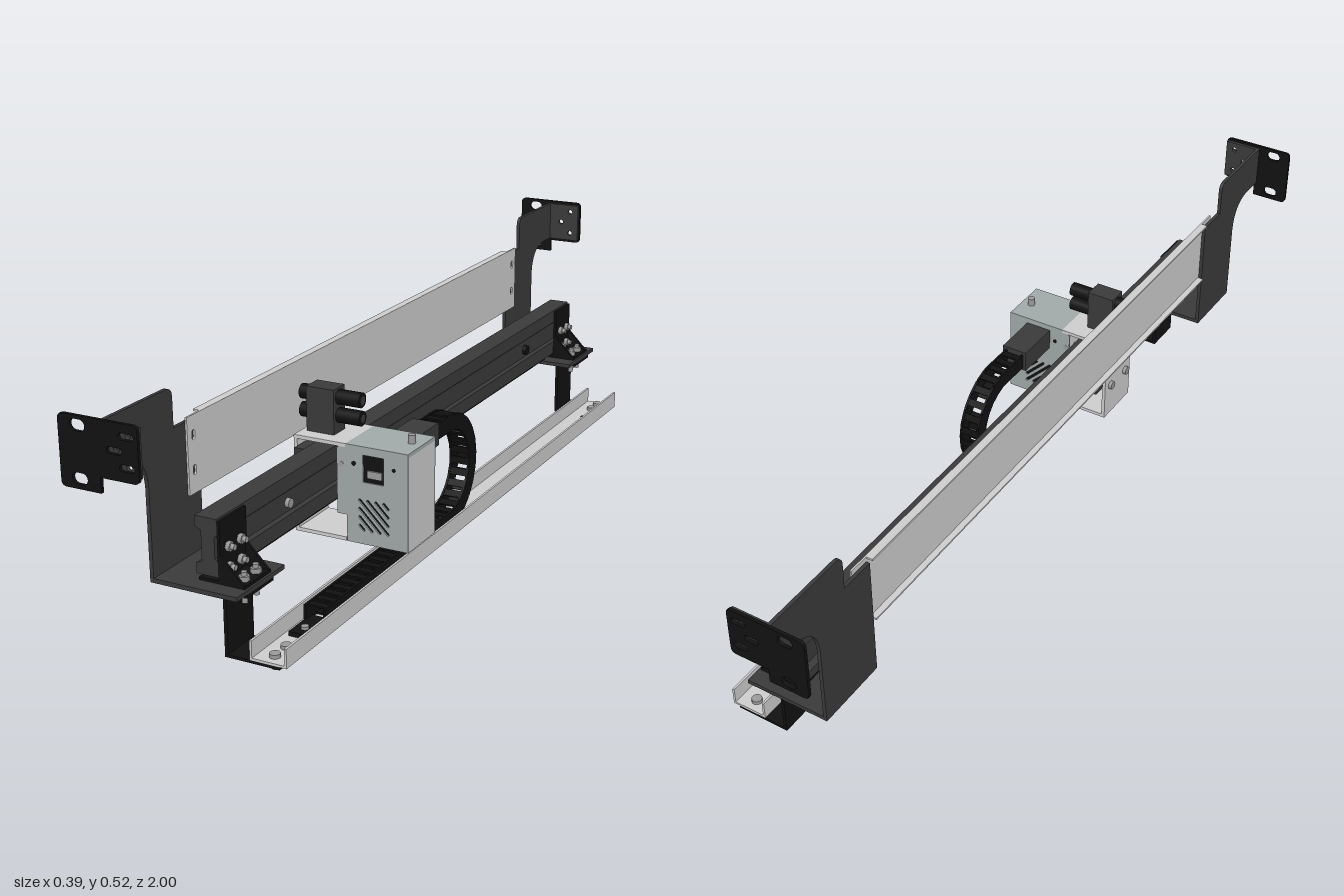
import * as THREE from 'three';

const mat = (name, color) => {
  const m = new THREE.MeshStandardMaterial({ color });
  m.name = name;
  return m;
};

export function createModel() {
  const light = mat('light metal', 0xcccccc);
  const cover = mat('cool grey cover', 0xa0a8a8);
  const dark = mat('dark grey metal', 0x3a3a3a);
  const black = mat('black', 0x111111);
  const steel = mat('bolt steel', 0x9a9a9a);

  const root = new THREE.Group();
  root.name = 'linearSlideUnit';

  const add = (name, geo, m, parent = root) => {
    const mesh = new THREE.Mesh(geo, m);
    mesh.name = name;
    parent.add(mesh);
    return mesh;
  };
  // box from its limits
  const box = (name, m, x0, x1, y0, y1, z0, z1, parent) => {
    const g = new THREE.BoxGeometry(x1 - x0, y1 - y0, Math.abs(z1 - z0));
    g.translate((x0 + x1) / 2, (y0 + y1) / 2, (z0 + z1) / 2);
    return add(name, g, m, parent);
  };
  // cylinder along an axis, from a to b
  const rod = (name, m, axis, r, a, b, x, y, z, seg = 16) => {
    const g = new THREE.CylinderGeometry(r, r, b - a, seg);
    if (axis === 'x') g.rotateZ(Math.PI / 2);
    if (axis === 'z') g.rotateX(Math.PI / 2);
    const mid = (a + b) / 2;
    g.translate(axis === 'x' ? mid : x, axis === 'y' ? mid : y, axis === 'z' ? mid : z);
    return add(name, g, m);
  };
  const poly = (pts) => new THREE.Shape(pts.map((p) => new THREE.Vector2(p[0], p[1])));
  // rounded slot hole, optionally tilted
  const slot = (cx, cy, len, w, ang = 0) => {
    const r = w / 2, h = len / 2 - r, p = new THREE.Path();
    const dx = h * Math.cos(ang), dy = h * Math.sin(ang);
    p.absarc(cx + dx, cy + dy, r, ang - Math.PI / 2, ang + Math.PI / 2, false);
    p.absarc(cx - dx, cy - dy, r, ang + Math.PI / 2, ang + Math.PI * 1.5, false);
    p.closePath();
    return p;
  };
  // shape in x-y, extruded along z
  const extrudeZ = (name, m, shape, z0, z1) => {
    const g = new THREE.ExtrudeGeometry(shape, { depth: z1 - z0, bevelEnabled: false, curveSegments: 8 });
    g.translate(0, 0, z0);
    return add(name, g, m);
  };
  // shape in z-y, extruded along x
  const extrudeX = (name, m, shape, x0, x1) => {
    const g = new THREE.ExtrudeGeometry(shape, { depth: x1 - x0, bevelEnabled: false, curveSegments: 10 });
    g.rotateY(-Math.PI / 2);
    g.translate(x1, 0, 0);
    return add(name, g, m);
  };

  // ---- beam and back panel ----
  extrudeZ('beam', dark, poly([
    [-0.035, 0.173], [0.013, 0.173], [0.013, 0.205], [0.007, 0.21], [0.007, 0.252],
    [0.013, 0.257], [0.013, 0.289], [-0.035, 0.289], [-0.035, 0.268], [-0.022, 0.262],
    [-0.022, 0.2], [-0.035, 0.194]]), -0.83, 0.83);
  box('beamLowerStrip', black, -0.028, 0.008, 0.167, 0.173, -0.7, 0.7);
  rod('beamPlug', steel, 'x', 0.01, 0.006, 0.016, 0, 0.229, 0.575);
  rod('beamPlug', black, 'x', 0.012, 0.006, 0.016, 0, 0.229, -0.565);

  const panel = poly([[-0.745, 0.283], [0.745, 0.283], [0.745, 0.44], [-0.745, 0.44]]);
  for (const z of [-0.725, 0.725]) for (const y of [0.33, 0.4]) panel.holes.push(slot(z, y, 0.02, 0.01, Math.PI / 2));
  extrudeX('backPanel', light, panel, -0.106, -0.102);
  for (const y of [0.283, 0.436]) box('panelLip', light, -0.12, -0.106, y, y + 0.004, -0.698, 0.698);

  // ---- lower channel ----
  box('channelFloor', light, 0.075, 0.155, 0.02, 0.025, -0.83, 0.83);
  box('channelWall', light, 0.075, 0.08, 0.025, 0.06, -0.83, 0.83);
  box('channelWall', light, 0.15, 0.155, 0.025, 0.06, -0.83, 0.83);
  rod('channelHole', black, 'y', 0.006, 0.0245, 0.0258, 0.115, 0, -0.705);

  // ---- both ends ----
  for (const s of [1, -1]) {
    // mounting plate with rounded corners and slots
    const p = new THREE.Shape(), r = 0.012;
    p.moveTo(-0.195 + r, 0.378);
    p.lineTo(-0.108, 0.378);
    p.lineTo(-0.108, 0.408);
    p.lineTo(-0.025 - r, 0.408);
    p.quadraticCurveTo(-0.025, 0.408, -0.025, 0.408 + r);
    p.lineTo(-0.025, 0.516 - r);
    p.quadraticCurveTo(-0.025, 0.516, -0.025 - r, 0.516);
    p.lineTo(-0.195 + r, 0.516);
    p.quadraticCurveTo(-0.195, 0.516, -0.195, 0.516 - r);
    p.lineTo(-0.195, 0.378 + r);
    p.quadraticCurveTo(-0.195, 0.378, -0.195 + r, 0.378);
    p.holes.push(slot(-0.153, 0.498, 0.033, 0.022), slot(-0.153, 0.398, 0.033, 0.022));
    const f = poly([[-0.113, 0.415], [-0.028, 0.415], [-0.028, 0.51], [-0.113, 0.51]]);
    for (const [x, y] of [[-0.05, 0.492], [-0.076, 0.463], [-0.05, 0.434]]) {
      p.holes.push(slot(x, y, 0.032, 0.013));
      f.holes.push(slot(x, y, 0.0121, 0.012));
    }
    extrudeZ('mountingPlate', black, p, s > 0 ? 0.993 : -1, s > 0 ? 1 : -0.993);
    extrudeZ('bracketFlange', dark, f, s > 0 ? 0.985 : -0.993, s > 0 ? 0.993 : -0.985);

    // swept side bracket
    const b = new THREE.Shape();
    b.moveTo(s * 0.99, 0.51);
    b.lineTo(s * 0.8, 0.51);
    b.quadraticCurveTo(s * 0.78, 0.51, s * 0.78, 0.49);
    b.lineTo(s * 0.78, 0.43);
    b.lineTo(s * 0.7, 0.43);
    b.lineTo(s * 0.7, 0.152);
    b.lineTo(s * 0.865, 0.152);
    b.lineTo(s * 0.865, 0.34);
    b.quadraticCurveTo(s * 0.868, 0.41, s * 0.935, 0.415);
    b.lineTo(s * 0.99, 0.415);
    b.closePath();
    extrudeX('sideBracket', dark, b, -0.115, -0.107);
    box('bracketShelf', dark, -0.115, 0.075, 0.152, 0.161, s * 0.7, s * 0.865);

    // angle bracket between beam and shelf
    box('angleUpright', black, 0.013, 0.019, 0.161, 0.285, s * 0.74, s * 0.83);
    box('angleFoot', black, -0.03, 0.07, 0.161, 0.167, s * 0.74, s * 0.83);
    for (const z of [0.743, 0.827]) {
      extrudeZ('angleGusset', black, poly([[0.019, 0.167], [0.068, 0.167], [0.019, 0.217]]), s * z - 0.003, s * z + 0.003);
    }

    // stepped hanger down to the channel
    box('hangerTop', black, 0.021, 0.075, 0.145, 0.152, s * 0.74, s * 0.83);
    box('hangerUpright', black, 0.021, 0.028, 0.02, 0.146, s * 0.74, s * 0.83);
    box('hangerFoot', black, 0.021, 0.14, 0.014, 0.02, s * 0.74, s * 0.83);

    // bolts
    for (const z of [0.765, 0.805]) {
      for (const y of [0.188, 0.229]) {
        rod('beamBolt', steel, 'x', 0.01, 0.019, 0.028, 0, y, s * z, 6);
        rod('beamBoltTip', steel, 'x', 0.006, 0.028, 0.036, 0, y, s * z, 10);
      }
      rod('shelfBolt', steel, 'y', 0.006, 0.122, 0.185, 0.053, 0, s * z, 10);
      rod('shelfNut', steel, 'y', 0.011, 0.167, 0.177, 0.053, 0, s * z, 6);
      rod('shelfNut', steel, 'y', 0.011, 0.134, 0.145, 0.053, 0, s * z, 6);
      rod('channelBoltHead', steel, 'y', 0.011, 0.025, 0.033, 0.115, 0, s * z);
      rod('channelNut', steel, 'y', 0.011, 0.005, 0.014, 0.115, 0, s * z, 6);
      rod('channelBoltTip', steel, 'y', 0.006, 0, 0.006, 0.115, 0, s * z, 10);
    }
  }

  // ---- carriage ----
  box('carriageBlock', dark, -0.057, -0.036, 0.173, 0.288, 0.28, 0.44);
  box('carriageTopArm', light, -0.07, 0.05, 0.3, 0.308, 0.3, 0.42);
  box('carriageBottomArm', light, -0.07, 0.05, 0.097, 0.105, 0.3, 0.42);
  box('carriageUpperCheek', light, -0.07, -0.062, 0.25, 0.3, 0.3, 0.42);
  box('carriageLowerCheek', light, -0.07, -0.062, 0.105, 0.205, 0.3, 0.42);
  for (const z of [0.325, 0.395]) for (const y of [0.18, 0.28]) {
    rod('cheekScrew', steel, 'x', 0.01, -0.078, -0.07, 0, y, z);
    rod('cheekSpacer', steel, 'x', 0.005, -0.062, -0.057, 0, y, z, 10);
  }

  // ---- control box ----
  box('boxCore', black, 0.056, 0.184, 0.103, 0.3, 0.308, 0.412);
  box('boxTop', cover, 0.05, 0.192, 0.3, 0.308, 0.3, 0.42);
  box('boxRightSide', light, 0.184, 0.192, 0.097, 0.3, 0.304, 0.416);
  box('boxInnerSide', light, 0.05, 0.056, 0.097, 0.3, 0.304, 0.416);
  box('boxBottom', light, 0.056, 0.184, 0.097, 0.103, 0.304, 0.416);
  for (const z of [0.3, 0.416]) {
    const face = poly([[0.052, 0.097], [0.192, 0.097], [0.192, 0.308], [0.042, 0.308], [0.03, 0.296], [0.03, 0.155], [0.052, 0.155]]);
    face.holes.push(poly([[0.09, 0.232], [0.137, 0.232], [0.137, 0.29], [0.09, 0.29]]));
    for (let k = -3; k <= 3; k++) {
      const d = k * 0.013 * Math.SQRT1_2;
      face.holes.push(slot(0.114 + d, 0.16 + d, 2 * (0.048 - 0.013 * Math.abs(k)), 0.006, -Math.PI / 4));
    }
    extrudeZ('boxFace', cover, face, z, z + 0.004);
    const a = z < 0.35 ? z - 0.001 : z + 0.004;
    rod('faceHole', black, 'z', 0.005, a, a + 0.001, 0.069, 0.269, 0);
    rod('faceHole', black, 'z', 0.004, a, a + 0.001, 0.16, 0.269, 0);
    rod('faceScrew', steel, 'z', 0.006, a, a + 0.001, 0.04, 0.263, 0);
  }
  box('windowConnector', steel, 0.097, 0.13, 0.24, 0.256, 0.412, 0.416);
  rod('topButton', steel, 'y', 0.008, 0.308, 0.326, 0.167, 0, 0.355);
  rod('boxStud', steel, 'x', 0.009, 0.014, 0.05, 0, 0.228, 0.36);

  // ---- twin sensor on the carriage ----
  box('sensorBlock', dark, -0.058, 0.006, 0.308, 0.404, 0.342, 0.388);
  for (const y of [0.345, 0.384]) {
    rod('sensorBarrel', black, 'x', 0.016, 0.006, 0.06, 0, y, 0.365);
    rod('sensorTail', black, 'x', 0.016, -0.08, -0.058, 0, y, 0.365);
    rod('sensorLens', dark, 'x', 0.009, 0.06, 0.061, 0, y, 0.365);
  }

  // ---- cable chain ----
  box('chainMount', dark, 0.083, 0.145, 0.245, 0.295, 0.19, 0.3);
  const R = 0.112, cy = 0.158, cz = 0.12, run = 0.07, arc = Math.PI * R;
  const pitch = 0.03, count = 32;
  const side = new THREE.BoxGeometry(0.005, 0.036, 0.033);
  const bar = new THREE.BoxGeometry(0.044, 0.004, 0.016);
  for (let i = 0; i < count; i++) {
    const d = (i + 0.5) * pitch;
    const link = new THREE.Group();
    link.name = 'chainLink';
    if (d < run) link.position.set(0.114, cy + R, cz + run - d);
    else if (d < run + arc) {
      const t = (d - run) / R;
      link.position.set(0.114, cy + R * Math.cos(t), cz - R * Math.sin(t));
      link.rotation.x = -t;
    } else link.position.set(0.114, cy - R, cz + d - run - arc);
    for (const q of [-1, 1]) {
      add('linkSide', side, black, link).position.x = q * 0.0215;
      add('linkBar', bar, black, link).position.y = q * 0.015;
    }
    root.add(link);
  }
  box('chainAnchor', black, 0.092, 0.137, 0.025, 0.034, 0.65, 0.72);
  rod('anchorScrew', steel, 'y', 0.008, 0.034, 0.04, 0.114, 0, 0.695);

  return root;
}
